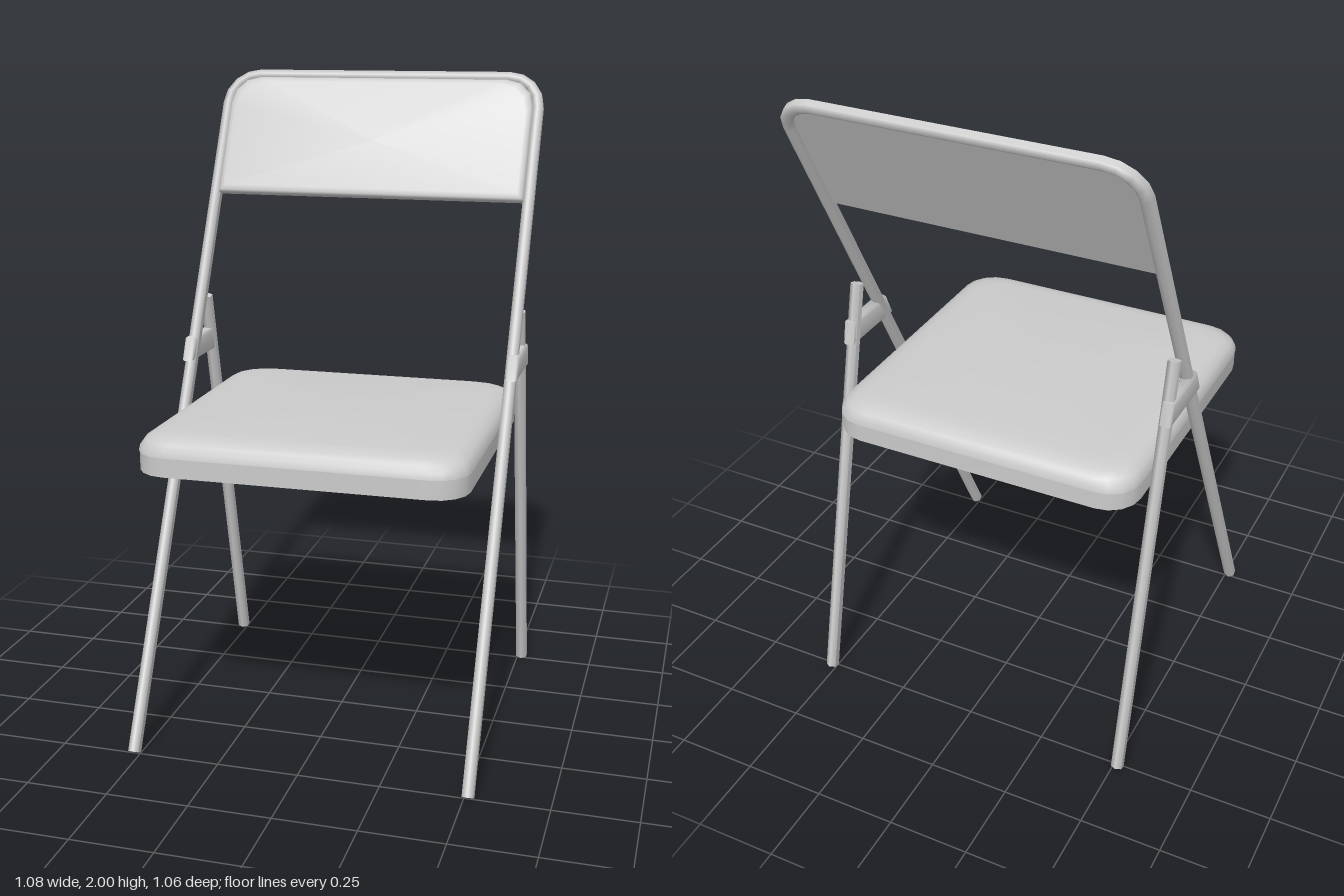
import * as THREE from 'three';
import { toCreasedNormals } from 'three/addons/utils/BufferGeometryUtils.js';

const material = new THREE.MeshStandardMaterial({ color: 0xcccccc });
const R = 0.02; // tube radius
const SIDE = 0.514; // x of the tubes

function part(name, geometry) {
  const mesh = new THREE.Mesh(toCreasedNormals(geometry, 1.2), material);
  mesh.name = name;
  return mesh;
}

// Closed skin over equal-length rings of Vector3, counter-clockwise seen from the last ring
function loft(rings) {
  const n = rings[0].length, last = rings.length - 1;
  const points = rings.flat(), index = [];
  for (let i = 0; i < last; i++) {
    for (let j = 0; j < n; j++) {
      const k = (j + 1) % n, a = i * n, b = a + n;
      index.push(a + j, a + k, b + k, a + j, b + k, b + j);
    }
  }
  for (const r of [0, last]) {
    const c = points.length;
    points.push(rings[r].reduce((s, p) => s.add(p), new THREE.Vector3()).divideScalar(n));
    for (let j = 0; j < n; j++) {
      const a = r * n + j, b = r * n + (j + 1) % n;
      index.push(c, r ? a : b, r ? b : a);
    }
  }
  const g = new THREE.BufferGeometry().setFromPoints(points);
  g.setIndex(index);
  return g;
}

// Six-sided tube along a path in the xy plane, mitred at its bends
function tube(path) {
  return loft(path.map((p, i) => {
    const before = p.clone().sub(path[Math.max(i - 1, 0)]).normalize();
    const after = path[Math.min(i + 1, path.length - 1)].clone().sub(p).normalize();
    const t = before.clone().add(after).normalize();
    const miter = i && i < path.length - 1 ? 1 / t.dot(after) : 1;
    return Array.from({ length: 6 }, (_, k) => {
      const a = Math.PI / 6 + k * Math.PI / 3, c = Math.cos(a) * R * miter;
      return new THREE.Vector3(p.x - t.y * c, p.y + t.x * c, Math.sin(a) * R);
    });
  }));
}

// Rounded rectangle, counter-clockwise, with separate top and bottom radii
function roundedRect(halfWidth, low, high, rTop, rBottom, inset = 0, steps = 3) {
  const out = [];
  const corners = [[1, 1], [-1, 1], [-1, -1], [1, -1]];
  corners.forEach(([sx, sy], q) => {
    const r = sy > 0 ? rTop : rBottom;
    const cx = sx * (halfWidth - inset - r);
    const cy = sy > 0 ? high - inset - r : low + inset + r;
    for (let i = 0; i <= steps; i++) {
      const a = (q + i / steps) * Math.PI / 2;
      out.push(new THREE.Vector2(cx + r * Math.cos(a), cy + r * Math.sin(a)));
    }
  });
  return out;
}

export function createModel() {
  const model = new THREE.Group();
  model.name = 'foldingChair';

  // Leaning front frame: both front legs and the backrest hoop in one bent tube
  const back = new THREE.Group();
  back.name = 'frontFrame';
  back.position.set(0, 0.01, 0.51);
  back.rotation.x = -Math.atan2(1.02, 1.975);
  const top = 2.218, bend = 0.1;
  const path = [new THREE.Vector2(-SIDE, 0)];
  for (const s of [-1, 1]) {
    for (let i = 0; i <= 4; i++) {
      const a = (s < 0 ? Math.PI : Math.PI / 2) - i * Math.PI / 8;
      path.push(new THREE.Vector2(s * (SIDE - bend) + bend * Math.cos(a), top - bend + bend * Math.sin(a)));
    }
  }
  path.push(new THREE.Vector2(SIDE, 0));
  back.add(part('frameTube', tube(path)));

  // Backrest pad: shallow panel with softened front edge, [offset, inset]
  const padRings = [[0, 0], [0.018, 0], [0.026, 0.006], [0.03, 0.02]].map(([z, inset]) =>
    roundedRect(0.5, 1.8, 2.205, 0.09, 0.004, inset).map(p => new THREE.Vector3(p.x, p.y, z)));
  back.add(part('backrest', loft(padRings)));
  model.add(back);

  // Seat: straight rim below, padded cushion above, [height, inset]
  const seatRing = ([y, inset]) => roundedRect(0.489, -0.53, 0.443, 0.1, 0.1, inset, 4)
    .map(p => new THREE.Vector3(p.x, y, -p.y));
  model.add(part('seatPan', loft([[0.9, 0.002], [0.957, 0.002]].map(seatRing))));
  const cushion = [[0.957, 0], [0.975, 0.003], [0.993, 0.014], [1.006, 0.035], [1.013, 0.06], [1.016, 0.085]];
  model.add(part('seatCushion', loft(cushion.map(seatRing))));

  // Rear legs and the hinge brackets joining them to the frame
  const profile = [[-0.04, 1.115], [-0.066, 1.17], [-0.244, 1.17], [-0.256, 1.115]];
  for (const s of [1, -1]) {
    const side = s > 0 ? 'left' : 'right';
    const leg = part(side + 'RearLeg', tube([new THREE.Vector2(0, 0), new THREE.Vector2(0, 1.322)]));
    leg.position.set(s * SIDE, 0.005, -0.511);
    leg.rotation.x = Math.atan2(0.31, 1.285);
    model.add(leg);

    const shape = new THREE.Shape(profile.map(p => new THREE.Vector2(...p)));
    const bracket = new THREE.ExtrudeGeometry(shape, {
      depth: 0.018, bevelThickness: 0.01, bevelSize: 0.01, bevelSegments: 2,
    });
    bracket.translate(0, 0, -0.009).rotateY(-Math.PI / 2).translate(s * 0.519, 0, 0);
    model.add(part(side + 'HingeBracket', bracket));
  }
  return model;
}
